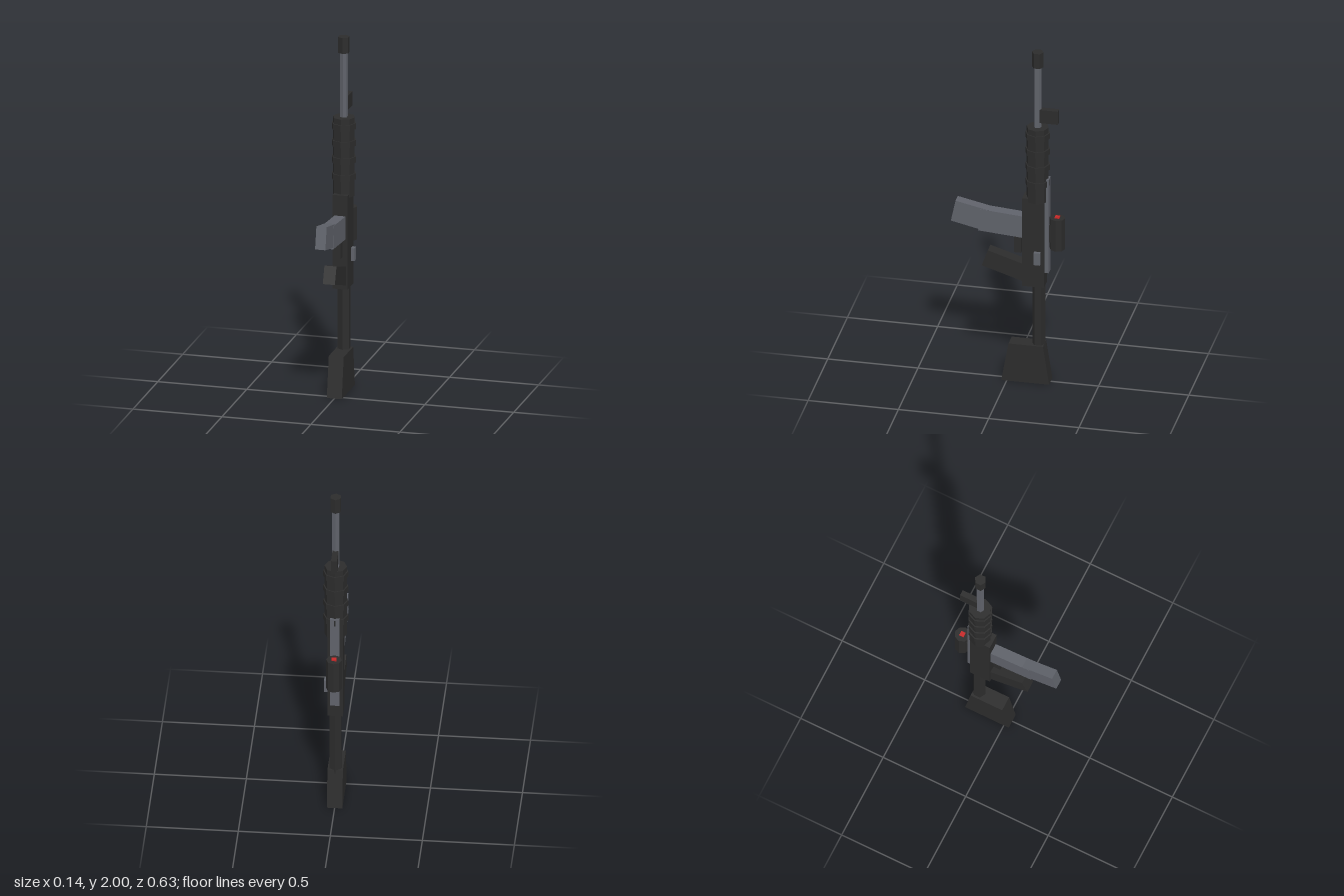
import * as THREE from 'three';

const mat = (name, color) => {
  const m = new THREE.MeshStandardMaterial({ color, flatShading: true });
  m.name = name;
  return m;
};

export function createModel() {
  const group = new THREE.Group();
  const black = mat('matte black', 0x2c2c2c);
  const steel = mat('steel grey', 0x5f626a);
  const red = mat('lens red', 0xc62828);

  const add = (name, geometry, material) => {
    const mesh = new THREE.Mesh(geometry, material);
    mesh.name = name;
    group.add(mesh);
    return mesh;
  };
  // Box given by its lower and upper corners
  const box = (name, material, [x0, y0, z0], [x1, y1, z1]) =>
    add(name, new THREE.BoxGeometry(x1 - x0, y1 - y0, z1 - z0), material)
      .position.set((x0 + x1) / 2, (y0 + y1) / 2, (z0 + z1) / 2);
  // Upright faceted cylinder between two heights
  const rod = (name, material, sides, radius, y0, y1, z) =>
    add(name, new THREE.CylinderGeometry(radius, radius, y1 - y0, sides), material)
      .position.set(0, (y0 + y1) / 2, z);
  // Side profile of [z, y] points, extruded symmetrically across x
  const slab = (name, material, halfWidth, points) => {
    const shape = new THREE.Shape(points.map(([z, y]) => new THREE.Vector2(z, y)));
    const g = new THREE.ExtrudeGeometry(shape, { depth: halfWidth * 2, bevelEnabled: false });
    g.translate(0, 0, -halfWidth).rotateY(-Math.PI / 2);
    add(name, g, material);
  };

  // Barrel group
  const axis = -0.163;
  rod('muzzle', black, 6, 0.032, 1.91, 2.0, axis);
  rod('barrel', steel, 6, 0.022, 1.5, 1.93, axis);
  box('frontSight', black, [-0.016, 1.575, -0.278], [0.016, 1.655, -0.17]);

  // Ribbed handguard
  rod('handguard', black, 8, 0.061, 1.1, 1.545, axis);
  for (let i = 0; i < 4; i++) {
    const y = 1.211 + i * 0.095;
    rod('handguardRing', black, 8, 0.068, y - 0.017, y + 0.017, axis);
  }

  // Receiver, rail and bolt handle
  box('receiver', black, [-0.042, 0.587, -0.206], [0.042, 1.12, -0.085]);
  box('rail', steel, [-0.025, 0.67, -0.229], [0.025, 1.238, -0.2]);
  box('boltHandle', steel, [0.03, 0.73, -0.188], [0.062, 0.803, -0.153]);

  // Optic
  box('scopeMount', black, [-0.02, 0.855, -0.26], [0.02, 0.958, -0.2]);
  rod('scope', black, 8, 0.043, 0.815, 1.002, -0.272);
  box('scopeLens', red, [-0.0135, 1.0, -0.285], [0.0135, 1.009, -0.259]);

  // Curved magazine in two segments
  slab('magazineUpper', steel, 0.031, [[-0.1, 0.872], [0.16, 0.892], [0.15, 1.022], [-0.1, 1.002]]);
  slab('magazineLower', steel, 0.029, [[0.131, 0.894], [0.312, 0.934], [0.286, 1.058], [0.105, 1.019]]);

  // Trigger and grip
  box('trigger', black, [-0.016, 0.773, -0.074], [0.016, 0.885, -0.035]);
  slab('grip', black, 0.034, [[-0.1, 0.607], [0.14, 0.683], [0.106, 0.778], [-0.1, 0.713]]);

  // Stock
  rod('stockTube', black, 6, 0.036, 0.2, 0.6, -0.169);
  slab('stockButt', black, 0.042, [[-0.235, 0], [0.03, 0], [-0.01, 0.227], [-0.201, 0.227]]);

  return group;
}
